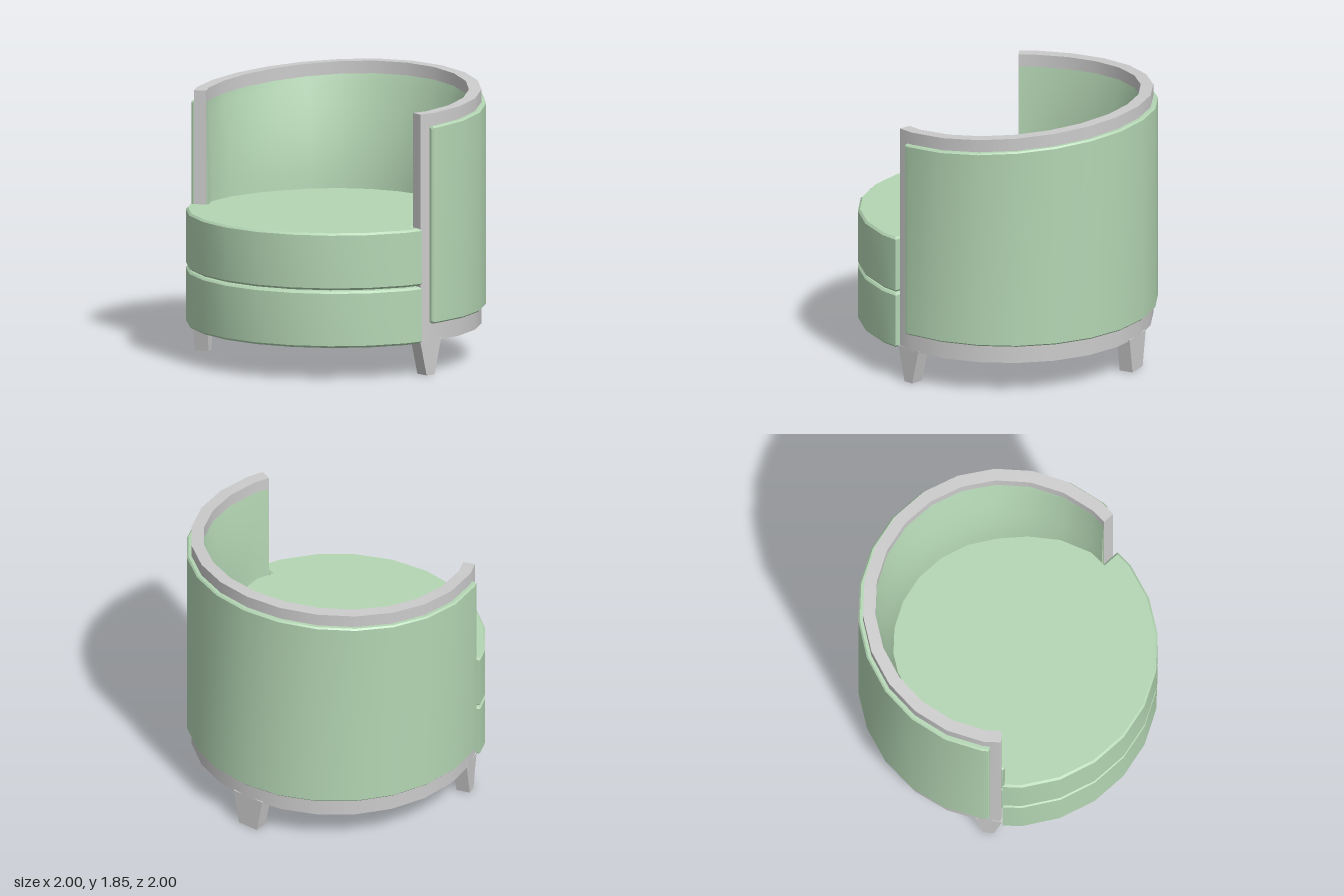
import * as THREE from 'three';
import { toCreasedNormals } from 'three/addons/utils/BufferGeometryUtils.js';

const CREASE = 0.5;
const rad = THREE.MathUtils.degToRad;

// Radius factor that keeps any angle (degrees) on the flat sides of a 24-gon
const facet = (deg) => Math.cos(rad(7.5)) / Math.cos(rad((((deg % 15) + 15) % 15) - 7.5));

// Angles run from the right arm (0 = +x) round the back (90 = -z)
function stations(end) {
  const list = [-end];
  for (let a = -15; a <= 195; a += 15) list.push(a);
  list.push(180 + end);
  return list;
}

function polar(deg, r) {
  const k = r * facet(deg);
  return [k * Math.cos(rad(deg)), k * Math.sin(rad(deg))];
}

// Height of the curved top rail at an angle: it rises towards the back
function railHeight(deg) {
  const z = -polar(deg, 0.965)[1];
  return 1.765 + 0.085 * Math.pow(Math.max(0, (0.36 - z) / 1.325), 1.6);
}

// Sweep a closed counter-clockwise (radius, height) profile round the chair, with end caps
function sweep(angles, profile) {
  const rings = angles.map((a) => profile(a).map(([r, y]) => {
    const [x, s] = polar(a, r);
    return [x, y, -s];
  }));
  const pos = [];
  const tri = (a, b, c) => pos.push(...a, ...b, ...c);
  const n = rings[0].length;
  for (let i = 0; i < rings.length - 1; i++) {
    const p = rings[i], q = rings[i + 1];
    for (let j = 0; j < n; j++) {
      const k = (j + 1) % n;
      tri(p[j], q[j], q[k]);
      tri(p[j], q[k], p[k]);
    }
  }
  const first = rings[0], last = rings[rings.length - 1];
  for (let j = 1; j < n - 1; j++) {
    tri(first[0], first[j], first[j + 1]);
    tri(last[0], last[j + 1], last[j]);
  }
  const g = new THREE.BufferGeometry();
  g.setAttribute('position', new THREE.Float32BufferAttribute(pos, 3));
  return toCreasedNormals(g, CREASE);
}

// Round cushion: narrow where it sits inside the shell, wider in front of the arms
function cushionGeometry(y0, y1) {
  const pts = stations(22.6).map((a) => polar(a, 0.88));
  const front = [202.6, 210, 225, 240, 255, 270, 285, 300, 315, 330, 337.4];
  front.forEach((a) => pts.push(polar(a, 1)));
  const shape = new THREE.Shape(pts.map(([x, y]) => new THREE.Vector2(x, y)));
  const b = 0.014;
  const g = new THREE.ExtrudeGeometry(shape, {
    depth: y1 - y0 - 2 * b, bevelSize: b, bevelThickness: b, bevelOffset: -b, bevelSegments: 1,
  });
  g.rotateX(-Math.PI / 2).translate(0, y0 + b, 0);
  return toCreasedNormals(g, CREASE);
}

// Tapered leg: constant radial thickness, narrowing tangentially to the floor
function legGeometry(topWidth, footWidth) {
  const h = 0.24;
  const shape = new THREE.Shape([
    new THREE.Vector2(-footWidth / 2, 0), new THREE.Vector2(footWidth / 2, 0),
    new THREE.Vector2(topWidth / 2, h), new THREE.Vector2(-topWidth / 2, h),
  ]);
  return new THREE.ExtrudeGeometry(shape, { depth: 0.095, bevelEnabled: false }).translate(0, 0, 0.868);
}

export function createModel() {
  const chair = new THREE.Group();
  chair.name = 'tubChair';
  const frameMat = new THREE.MeshStandardMaterial({ color: 0xcccccc });
  const fabricMat = new THREE.MeshStandardMaterial({ color: 0xb4d6b4 });
  const add = (name, geometry, material) => {
    const mesh = new THREE.Mesh(geometry, material);
    mesh.name = name;
    chair.add(mesh);
    return mesh;
  };

  // Curved shell frame
  add('shellFrame', sweep(stations(22), (a) => {
    const top = railHeight(a);
    return [[0.885, 0.228], [0.968, 0.228], [0.968, top], [0.885, top]];
  }), frameMat);

  // Upholstered outer panel with softened edges
  const panelAngles = stations(17);
  panelAngles.unshift(-17.6);
  panelAngles.push(197.6);
  add('outerPanel', sweep(panelAngles, (a) => {
    const inset = a < -17.1 || a > 197.1 ? 0.01 : 0;
    const b = 0.01, r = 1 - inset, y0 = 0.35 + inset, y1 = railHeight(a) - 0.085 - inset;
    return [[0.95, y0], [r - b, y0], [r, y0 + b], [r, y1 - b], [r - b, y1], [0.95, y1]];
  }), fabricMat);

  // Inner back pad: swells towards the seat and thins out along the arms
  add('backPad', sweep(stations(21.6), (a) => {
    const fromArm = a > 90 ? 180 - a : a;
    const depth = 0.012 + 0.108 * THREE.MathUtils.smoothstep(fromArm, -25, 32);
    const top = railHeight(a) - 0.085, bottom = 0.97;
    const pts = [[0.9, bottom], [0.9, top]];
    const steps = 8;
    for (let i = 0; i <= steps; i++) {
      const u = i / steps;
      const t = u * u * 0.5 + u * 0.5;
      pts.push([0.885 - depth * Math.sin(t * Math.PI / 2), top - (top - bottom) * t]);
    }
    return pts;
  }), fabricMat);

  // Seat base and loose cushion
  add('seatBase', cushionGeometry(0.226, 0.607), fabricMat);
  add('seatCushion', cushionGeometry(0.616, 1.0), fabricMat);

  // Legs: two under the arm ends, one at the back
  add('backLeg', legGeometry(0.24, 0.15), frameMat).rotation.y = Math.PI;
  for (const side of [1, -1]) {
    const leg = add(side > 0 ? 'leftFrontLeg' : 'rightFrontLeg', legGeometry(0.185, 0.07), frameMat);
    leg.rotation.y = side * rad(73);
  }
  return chair;
}
